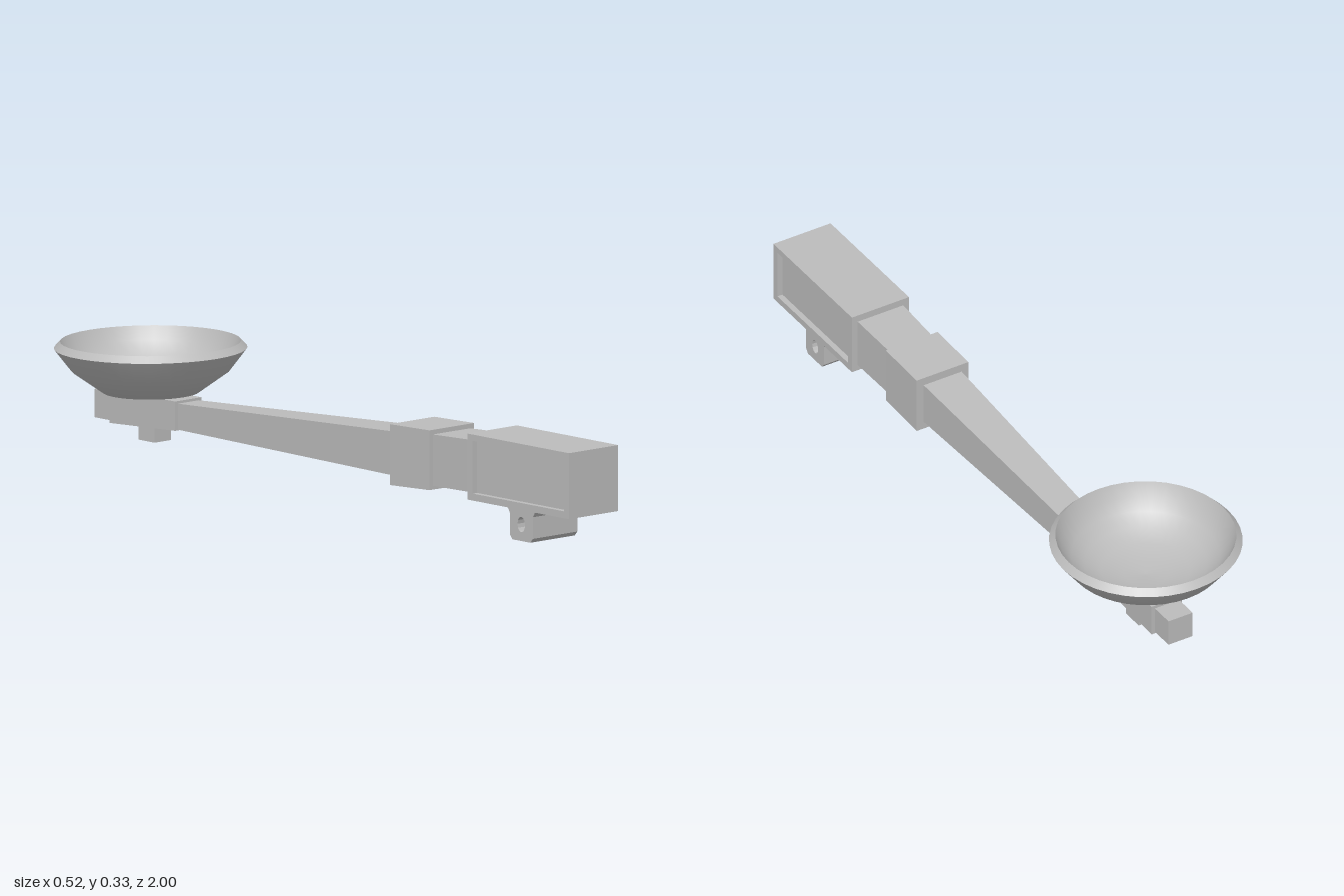
import * as THREE from 'three';

export function createModel() {
  const model = new THREE.Group();
  const grey = new THREE.MeshStandardMaterial({ color: 0xbcbcbc });
  grey.name = 'plainGrey';

  function add(name, geometry) {
    const mesh = new THREE.Mesh(geometry, grey);
    mesh.name = name;
    model.add(mesh);
    return mesh;
  }

  // Tapered block between two z stations, each section is [x0, x1, y0, y1]
  function block(name, zBack, back, zFront, front = back) {
    const g = new THREE.BoxGeometry(1, 1, 1);
    const p = g.attributes.position;
    for (let i = 0; i < p.count; i++) {
      const isFront = p.getZ(i) > 0;
      const s = isFront ? front : back;
      p.setXYZ(i, s[p.getX(i) > 0 ? 1 : 0], s[p.getY(i) > 0 ? 3 : 2], isFront ? zFront : zBack);
    }
    const flat = g.toNonIndexed();
    flat.computeVertexNormals();
    return add(name, flat);
  }

  // Side profile drawn in (z, y), extruded from x1 down to x0
  function sidePlate(name, shape, x0, x1) {
    const g = new THREE.ExtrudeGeometry(shape, { depth: x1 - x0, bevelEnabled: false, curveSegments: 6 });
    g.rotateY(-Math.PI / 2);
    g.translate(x1, 0, 0);
    return add(name, g);
  }

  const polygon = (pts) => pts.map(([z, y]) => new THREE.Vector2(z, y));
  const rect = (z0, y0, z1, y1) => polygon([[z0, y0], [z1, y0], [z1, y1], [z0, y1]]);

  // Counterweight box with a recessed panel on each side
  block('counterweightCore', 0.6, [-0.066, 0.082, 0.087, 0.267], 1);
  for (const [name, x0, x1] of [['leftFrame', 0.082, 0.098], ['rightFrame', -0.082, -0.066]]) {
    const frame = new THREE.Shape(rect(0.6, 0.087, 1, 0.267));
    frame.holes.push(new THREE.Path(rect(0.62, 0.106, 0.98, 0.25)));
    sidePlate(name, frame, x0, x1);
  }

  // Pivot lug with a through hole
  const lug = new THREE.Shape(polygon([
    [0.75, 0.09], [0.75, 0.083], [0.757, 0.071], [0.757, 0.012], [0.767, 0],
    [0.838, 0], [0.848, 0.012], [0.848, 0.071], [0.855, 0.083], [0.855, 0.09],
  ]));
  const hole = new THREE.Path();
  hole.absellipse(0.802, 0.045, 0.015, 0.021, 0, Math.PI * 2, true);
  lug.holes.push(hole);
  sidePlate('pivotLug', lug, -0.073, 0.089);

  // Neck, collar and long tapering arm
  block('neck', 0.43, [-0.06, 0.075, 0.1, 0.24], 0.605, [-0.064, 0.08, 0.104, 0.247]);
  block('collar', 0.283, [-0.073, 0.09, 0.083, 0.249], 0.44, [-0.073, 0.09, 0.09, 0.253]);
  block('arm', -0.6, [-0.03, 0.046, 0.11, 0.181], 0.29, [-0.052, 0.068, 0.105, 0.226]);

  // Cradle beneath the bowl, end tip and small peg
  block('cradle', -0.86, [-0.04, 0.056, 0.095, 0.186], -0.6, [-0.04, 0.056, 0.108, 0.188]);
  block('armTip', -0.93, [-0.03, 0.046, 0.1, 0.177], -0.85);
  block('peg', -0.765, [-0.022, 0.038, 0.06, 0.11], -0.7);

  // Bowl: outer shell, bevelled rim and inner hollow, tipped slightly back
  const bowl = new THREE.Group();
  bowl.name = 'bowl';
  const profiles = {
    outerShell: [[0, -0.139], [0.07, -0.138], [0.13, -0.129], [0.213, -0.07], [0.26, -0.009]],
    rim: [[0.26, -0.009], [0.243, 0.009]],
    innerHollow: [[0.243, 0.009], [0.226, -0.028], [0.2, -0.06], [0.165, -0.087], [0.12, -0.107], [0.06, -0.12], [0, -0.123]],
  };
  for (const [name, pts] of Object.entries(profiles)) {
    bowl.add(add(name, new THREE.LatheGeometry(polygon(pts), 40)));
  }
  bowl.position.set(0, 0.321, -0.74);
  bowl.rotation.x = -0.012;
  model.add(bowl);

  return model;
}
